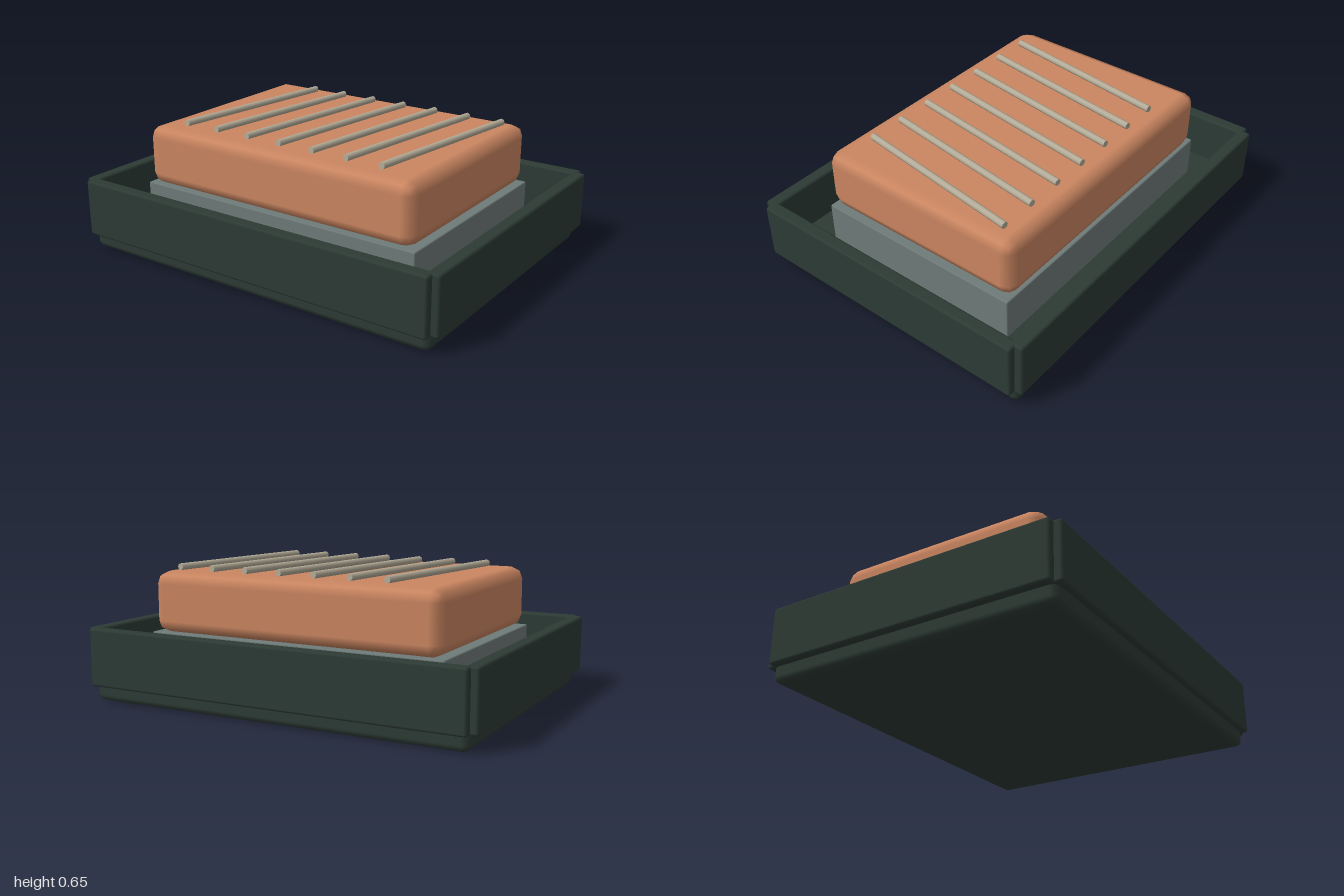
import * as THREE from 'three';
import { RoundedBoxGeometry } from 'three/addons/geometries/RoundedBoxGeometry.js';

function material(name, color) {
  const m = new THREE.MeshStandardMaterial({ color });
  m.name = name;
  return m;
}

export function createModel() {
  const green = material('darkGreen', 0x2d3b35);
  const clay = material('clayOrange', 0xcb8661);
  const grey = material('slateGrey', 0x6f7b79);
  const sand = material('paleSand', 0xb5ad99);

  const model = new THREE.Group();
  model.name = 'soapInTray';

  // Softly bevelled block spanning y0 to y1
  function block(name, mat, w, d, y0, y1, radius, x = 0, z = 0, parent = model) {
    const mesh = new THREE.Mesh(new RoundedBoxGeometry(w, y1 - y0, d, 1, radius), mat);
    mesh.name = name;
    mesh.position.set(x, (y0 + y1) / 2, z);
    parent.add(mesh);
    return mesh;
  }

  // Tray: floor slab with four overlapping walls
  const tray = new THREE.Group();
  tray.name = 'tray';
  model.add(tray);
  block('trayFloor', green, 1.92, 1.48, 0, 0.12, 0.03, 0, 0, tray);
  for (const s of [1, -1]) {
    block(s > 0 ? 'frontWall' : 'backWall', green, 1.93, 0.065, 0.075, 0.357, 0.012, 0, s * 0.74, tray);
    block(s > 0 ? 'leftWall' : 'rightWall', green, 0.065, 1.47, 0.075, 0.357, 0.012, s * 0.9675, 0, tray);
  }

  // Plinth and the rounded bar resting on it
  block('plinth', grey, 1.54, 1.08, 0.11, 0.325, 0.006);
  block('bar', clay, 1.51, 1.09, 0.322, 0.622, 0.06);

  // Slanted rods across the top of the bar
  const rods = new THREE.Group();
  rods.name = 'rods';
  model.add(rods);
  const slant = Math.atan2(0.125, 0.9);
  const rodGeometry = new THREE.CylinderGeometry(0.017, 0.017, 0.9, 8);
  rodGeometry.rotateX(Math.PI / 2);
  rodGeometry.rotateY(-slant);
  for (let i = 0; i < 7; i++) {
    const rod = new THREE.Mesh(rodGeometry, sand);
    rod.name = 'rod';
    rod.position.set(-0.518 + i * 0.1865, 0.638, 0);
    rods.add(rod);
  }

  return model;
}
